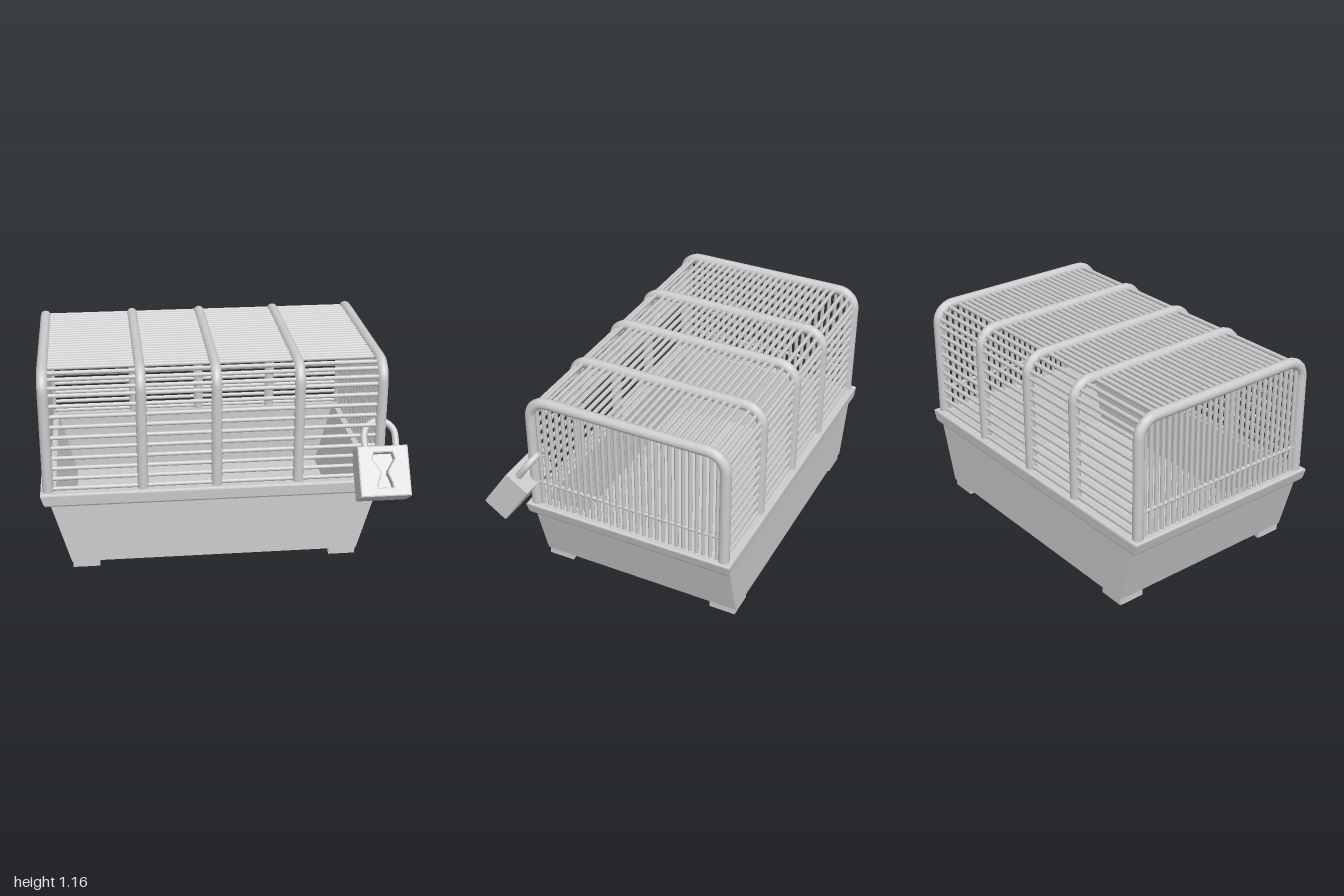
import * as THREE from 'three';

const CX = -0.045, CZ = -0.1;              // cage centre
const HALF = 0.56, TOP = 1.13, R = 0.1;    // arch centre line: half depth, top, corner radius
const END_X = [-0.955, 0.865];

const mat = new THREE.MeshStandardMaterial({ color: 0xcccccc });
const flatMat = new THREE.MeshStandardMaterial({ color: 0xcccccc, flatShading: true });

function add(parent, name, geometry, x = 0, y = 0, z = 0, material = mat) {
  const mesh = new THREE.Mesh(geometry, material);
  mesh.name = name;
  mesh.position.set(x, y, z);
  parent.add(mesh);
  return mesh;
}

// Hollow tray skinned through rectangular rings [half width, half depth, y]
function trayGeometry(rings) {
  const pos = [];
  const corner = ([w, d, y], i) => [i === 0 || i === 3 ? w : -w, y, i < 2 ? d : -d];
  for (let r = 0; r < rings.length - 1; r++) {
    for (let i = 0; i < 4; i++) {
      const j = (i + 1) % 4, a = rings[r], b = rings[r + 1];
      const [a0, a1, b0, b1] = [corner(a, i), corner(a, j), corner(b, i), corner(b, j)];
      if (a[0] > 0) pos.push(...a1, ...a0, ...b0);
      if (b[0] > 0) pos.push(...(a[0] > 0 ? a1 : a0), ...b0, ...b1);
      else continue;
    }
  }
  const geometry = new THREE.BufferGeometry();
  geometry.setAttribute('position', new THREE.Float32BufferAttribute(pos, 3));
  geometry.computeVertexNormals();
  return geometry;
}

// Upside-down U in the yz plane with rounded corners
function archGeometry() {
  const v = (z, y) => new THREE.Vector3(0, y, z);
  const path = new THREE.CurvePath();
  const arc = (s, from, to) => {
    const pts = [];
    for (let i = 0; i <= 6; i++) {
      const a = (from + (to - from) * i / 6) * Math.PI / 2;
      pts.push(v(s * (HALF - R + R * Math.cos(a)), TOP - R + R * Math.sin(a)));
    }
    for (let i = 0; i < 6; i++) path.add(new THREE.LineCurve3(pts[i], pts[i + 1]));
  };
  path.add(new THREE.LineCurve3(v(HALF, 0.44), v(HALF, TOP - R)));
  arc(1, 0, 1);
  path.add(new THREE.LineCurve3(v(HALF - R, TOP), v(R - HALF, TOP)));
  arc(-1, 1, 0);
  path.add(new THREE.LineCurve3(v(-HALF, TOP - R), v(-HALF, 0.44)));
  return new THREE.TubeGeometry(path, 120, 0.03, 12, false);
}

function createPadlock() {
  const lock = new THREE.Group();
  lock.name = 'padlock';
  const h = 0.14, depth = 0.156, bevel = 0.008;

  // Body with a keyhole cut, closed behind by a plug
  const face = new THREE.Shape([[-h, -h], [h, -h], [h, h], [-h, h]].map(p => new THREE.Vector2(...p)));
  const half = [[0.04, -0.09], [0.036, -0.065], [0.016, -0.015], [0.02, 0.005], [0.06, 0.065], [0.05, 0.1]];
  const outline = [...half, ...half.map(([x, y]) => [-x, y]).reverse()];
  face.holes.push(new THREE.Path(outline.map(p => new THREE.Vector2(...p))));
  const body = new THREE.ExtrudeGeometry(face, {
    depth: depth - 2 * bevel, bevelSize: bevel, bevelThickness: bevel, bevelOffset: -bevel, bevelSegments: 2,
  });
  add(lock, 'padlockBody', body, 0, 0, -depth / 2 + bevel);
  add(lock, 'keyholeBack', new THREE.BoxGeometry(0.2, 0.24, 0.11), 0, 0, -0.022);

  // Shackle
  const pts = [];
  const r = 0.087;
  for (let i = 0; i <= 12; i++) {
    const a = Math.PI * i / 12;
    pts.push(new THREE.Vector3(r * Math.cos(a), 0.2 + r * Math.sin(a), 0));
  }
  pts.unshift(new THREE.Vector3(r, 0.12, 0), new THREE.Vector3(r, 0.16, 0));
  pts.push(new THREE.Vector3(-r, 0.16, 0), new THREE.Vector3(-r, 0.12, 0));
  add(lock, 'shackle', new THREE.TubeGeometry(new THREE.CatmullRomCurve3(pts), 48, 0.019, 12), 0, 0, 0.025);

  lock.position.set(0.857, 0.54, 0.575);
  lock.rotation.x = -0.605;
  return lock;
}

export function createModel() {
  const model = new THREE.Group();
  model.name = 'petCage';

  // Tray with flared ends and an overhanging rim
  add(model, 'tray', trayGeometry([
    [0, 0, 0.04], [0.8, 0.588, 0.04], [0.9, 0.588, 0.39], [0.93, 0.6, 0.39], [0.936, 0.606, 0.4],
    [0.953, 0.609, 0.455], [0.953, 0.607, 0.462], [0.945, 0.6, 0.466], [0.868, 0.53, 0.466],
    [0.765, 0.53, 0.075], [0, 0, 0.075],
  ]), CX, 0, CZ, flatMat);

  // L-shaped corner feet
  for (const sx of [-1, 1]) for (const sz of [-1, 1]) {
    const foot = new THREE.Group();
    foot.name = 'foot';
    add(foot, 'footLong', new THREE.BoxGeometry(0.15, 0.045, 0.03), -sx * 0.075, 0.0225, -sz * 0.015);
    add(foot, 'footShort', new THREE.BoxGeometry(0.03, 0.045, 0.12), -sx * 0.015, 0.0225, -sz * 0.09);
    foot.position.set(CX + sx * 0.795, 0, CZ + sz * 0.58);
    model.add(foot);
  }

  // Arches
  const arch = archGeometry();
  for (const x of [END_X[0], -0.44, -0.035, 0.415, END_X[1]]) add(model, 'arch', arch, x, 0, CZ);

  // Long wires across the front, back, rounded corners and roof
  const wire = new THREE.CylinderGeometry(0.012, 0.012, END_X[1] - END_X[0], 8).rotateZ(Math.PI / 2);
  for (const s of [-1, 1]) {
    for (let i = 0; i < 10; i++) add(model, 'sideWire', wire, CX, 0.48 + i * 0.06, CZ + s * HALF);
    for (const a of [0.31, 0.78, 1.22]) {
      add(model, 'cornerWire', wire, CX, TOP - R + R * Math.sin(a), CZ + s * (HALF - R + R * Math.cos(a)));
    }
  }
  for (let i = -11; i <= 11; i++) add(model, 'roofWire', wire, CX, TOP, CZ + i * 0.0395);

  // End walls: upright bars and one cross bar
  const cross = new THREE.CylinderGeometry(0.012, 0.012, 2 * HALF, 8).rotateX(Math.PI / 2);
  for (const x of END_X) {
    for (let i = 0; i < 28; i++) {
      const z = (i - 13.5) * 0.0385;
      const over = Math.max(0, Math.abs(z) - (HALF - R));
      const top = TOP - R + Math.sqrt(R * R - over * over);
      add(model, 'endBar', new THREE.CylinderGeometry(0.0115, 0.0115, top - 0.45, 8), x, (top + 0.45) / 2, CZ + z);
    }
    add(model, 'endCrossBar', cross, x, 0.61, CZ);
  }

  model.add(createPadlock());
  return model;
}
